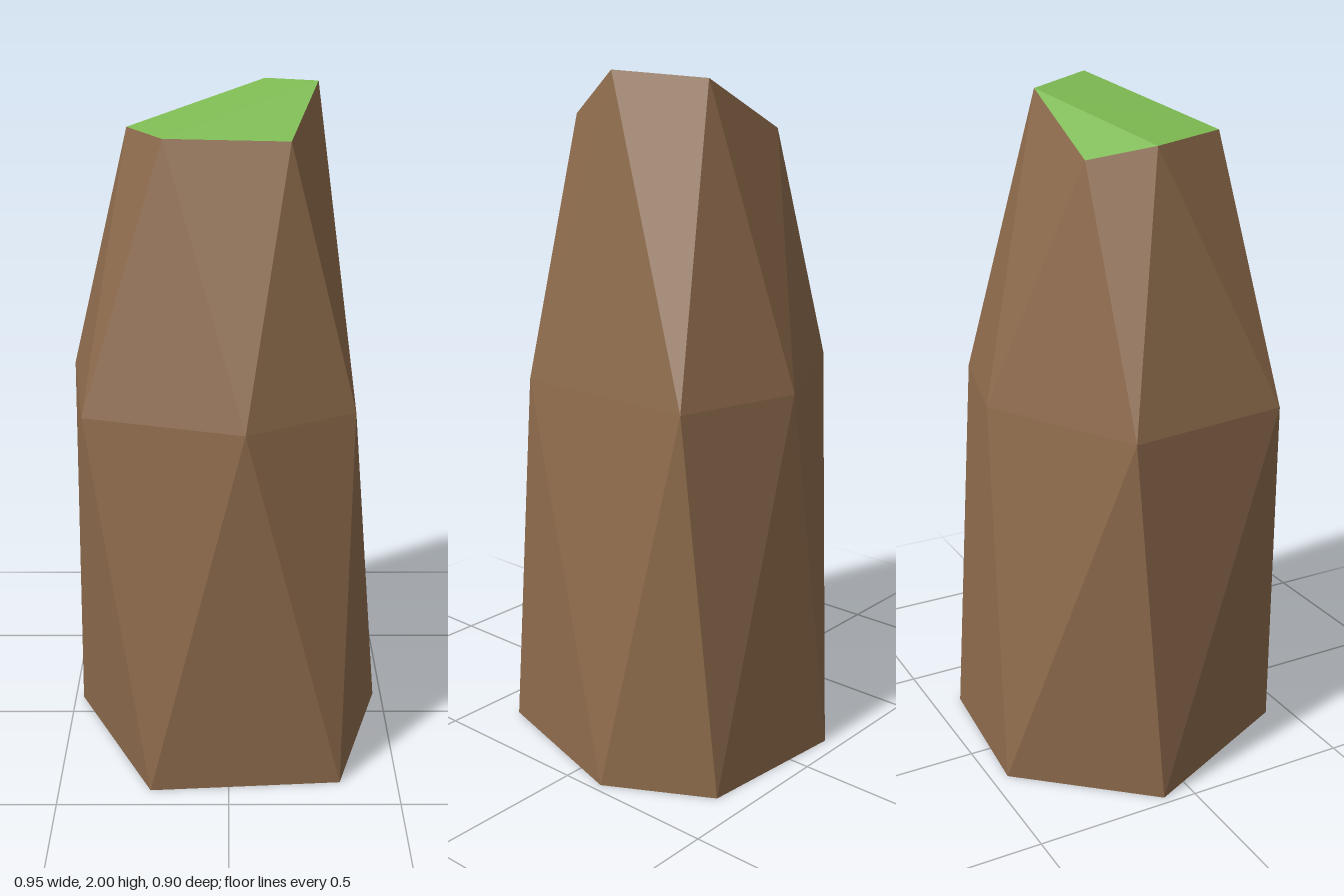
import * as THREE from 'three';

// Three six-sided rings, each listed in the same turning order
const base = [[0.33, 0, 0.39], [-0.23, 0, 0.43], [-0.475, 0, -0.09], [-0.16, 0, -0.45], [0.31, 0, -0.41], [0.475, 0, -0.11]];
const waist = [[0.045, 0.45], [-0.405, 0.31], [-0.47, -0.185], [-0.01, -0.415], [0.36, -0.315], [0.355, 0.265]]
  .map(([x, z]) => [x, 1.125, z]);
const rim = [[0.165, 1.87, 0.243], [-0.175, 1.875, 0.23], [-0.285, 1.867, -0.025], [-0.2, 1.83, -0.195], [0.105, 1.98, -0.195], [0.245, 2, 0.03]];

// Zigzag band of triangles between two rings; the diagonal of each
// panel runs from lower i+1 to upper i, or from lower i to upper i+1
function band(lower, upper, flip) {
  return lower.flatMap((p, i) => {
    const j = (i + 1) % lower.length;
    return flip
      ? [[lower[j], p, upper[j]], [p, upper[i], upper[j]]]
      : [[lower[j], p, upper[i]], [lower[j], upper[i], upper[j]]];
  });
}

// Unshared corners give every triangle its own flat normal
function facetMesh(name, faces, material) {
  const geometry = new THREE.BufferGeometry();
  geometry.setAttribute('position', new THREE.Float32BufferAttribute(faces.flat(2), 3));
  geometry.computeVertexNormals();
  const mesh = new THREE.Mesh(geometry, material);
  mesh.name = name;
  return mesh;
}

export function createModel() {
  const group = new THREE.Group();
  group.name = 'rockPillar';
  const brown = new THREE.MeshStandardMaterial({ color: 0x8f6c4d });
  brown.name = 'earth brown';
  const green = new THREE.MeshStandardMaterial({ color: 0x7dba52 });
  green.name = 'grass green';

  // Faceted sides and flat underside
  const underside = [1, 2, 3, 4].map((i) => [base[0], base[i], base[i + 1]]);
  const sides = [...band(base, waist, false), ...band(waist, rim, true)];
  group.add(facetMesh('rockBody', [...sides, ...underside], brown));

  // Sloping cap with two folded-down corners
  const cap = [[1, 0, 5], [4, 3, 2], [1, 5, 4], [1, 4, 2]].map((f) => f.map((i) => rim[i]));
  group.add(facetMesh('grassCap', cap, green));
  return group;
}
